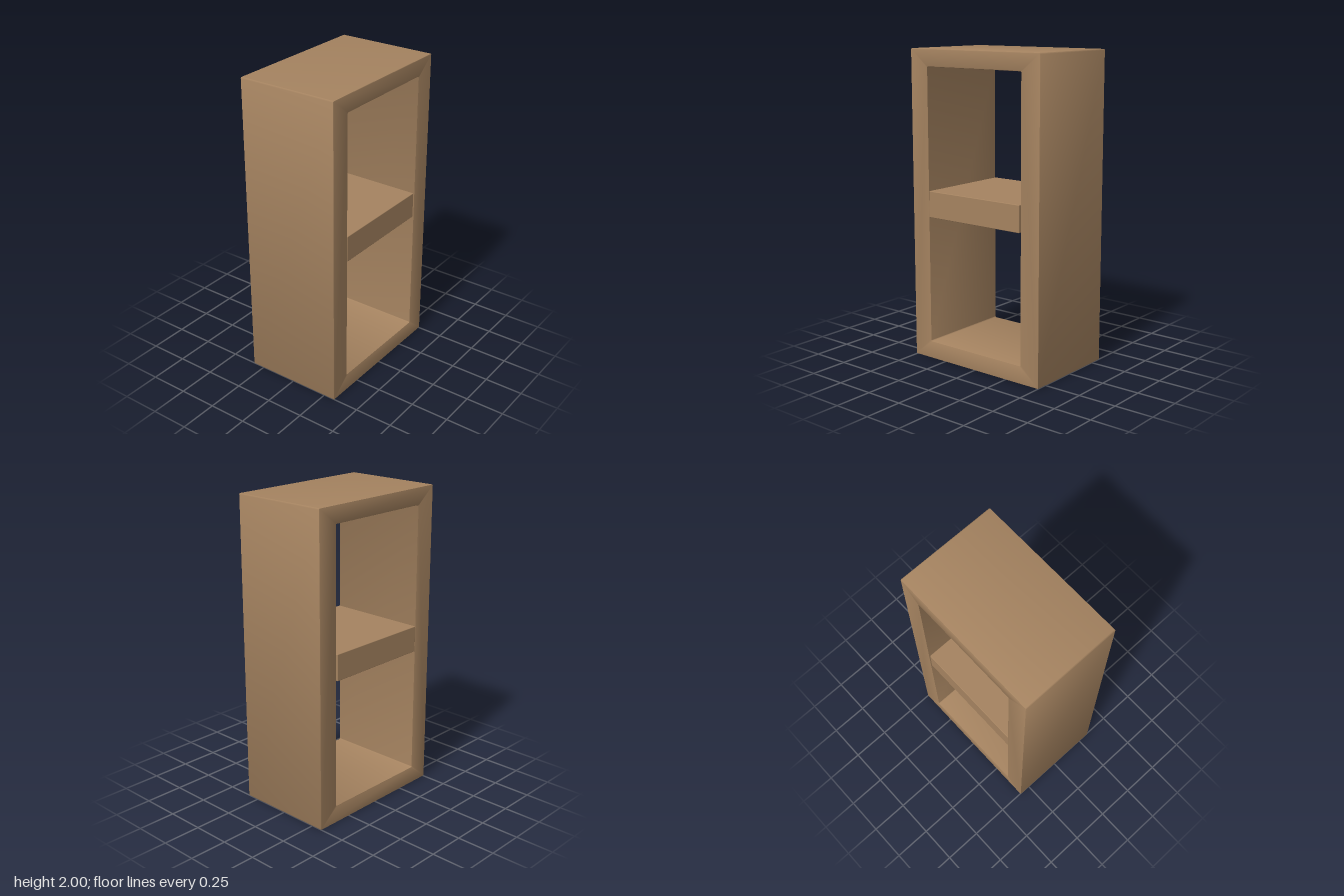
import * as THREE from 'three';
import { RoundedBoxGeometry } from 'three/addons/geometries/RoundedBoxGeometry.js';
import { toCreasedNormals } from 'three/addons/utils/BufferGeometryUtils.js';

const WIDTH = 0.66;   // along x, the open direction
const BEVEL = 0.006;

// Traces a rectangle with slightly eased corners
function easedRect(path, z0, z1, y0, y1, r) {
  path.moveTo(z0 + r, y0);
  path.lineTo(z1 - r, y0);
  path.absarc(z1 - r, y0 + r, r, -Math.PI / 2, 0);
  path.lineTo(z1, y1 - r);
  path.absarc(z1 - r, y1 - r, r, 0, Math.PI / 2);
  path.lineTo(z0 + r, y1);
  path.absarc(z0 + r, y1 - r, r, Math.PI / 2, Math.PI);
  path.lineTo(z0, y0 + r);
  path.absarc(z0 + r, y0 + r, r, Math.PI, Math.PI * 1.5);
  path.closePath();
  return path;
}

export function createModel() {
  const model = new THREE.Group();
  model.name = 'openShelfUnit';

  const wood = new THREE.MeshStandardMaterial({ color: 0xa58360 });
  wood.name = 'wood';

  // Frame: one hollow rectangle, open on both sides
  const profile = easedRect(new THREE.Shape(), -0.505, 0.505, 0, 2, 0.008);
  profile.holes.push(easedRect(new THREE.Path(), -0.367, 0.367, 0.115, 1.89, 0.006));
  const frameGeometry = new THREE.ExtrudeGeometry(profile, {
    depth: WIDTH - 2 * BEVEL,
    bevelThickness: BEVEL,
    bevelSize: BEVEL,
    bevelOffset: -BEVEL,
    bevelSegments: 2,
    curveSegments: 4,
  });
  frameGeometry.translate(0, 0, -WIDTH / 2 + BEVEL);
  frameGeometry.rotateY(-Math.PI / 2);
  const frame = new THREE.Mesh(toCreasedNormals(frameGeometry, 0.7), wood);
  frame.name = 'frame';
  model.add(frame);

  // Middle shelf, with a narrow gap at the back
  const shelf = new THREE.Mesh(new RoundedBoxGeometry(WIDTH, 0.17, 0.724, 2, 0.004), wood);
  shelf.name = 'shelf';
  shelf.position.set(0, 1.025, 0.006);
  model.add(shelf);

  return model;
}
